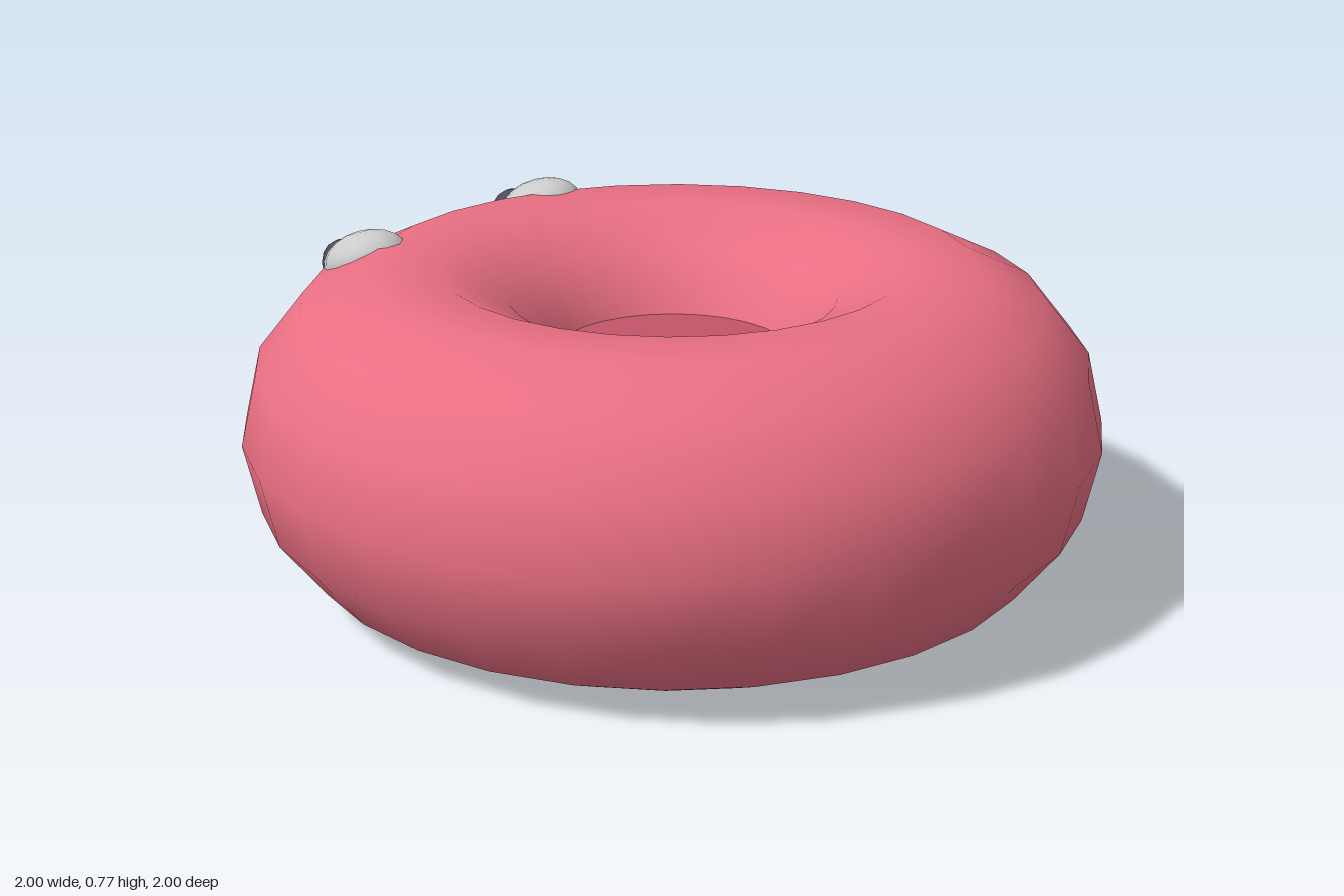
import * as THREE from 'three';

const MID = 0.373; // height of the ring's centre plane

function part(name, geometry, color) {
  const mesh = new THREE.Mesh(geometry, new THREE.MeshStandardMaterial({ color }));
  mesh.name = name;
  return mesh;
}

export function createModel() {
  const group = new THREE.Group();
  group.name = 'ringWithEyes';

  // Fat ring body lying flat
  const ring = part('ring', new THREE.TorusGeometry(0.618, 0.382, 14, 28).rotateX(-Math.PI / 2), 0xe96f83);
  ring.position.y = MID;
  group.add(ring);

  // Plug that closes the hole, its faces sunk below the ring's crown
  const plug = part('plug', new THREE.CylinderGeometry(0.274, 0.274, 0.33, 28), 0xc4546a);
  plug.position.y = MID;
  group.add(plug);

  // Eyes half sunk into the back of the crown, leaning outward with the surface
  for (const side of [1, -1]) {
    const eye = new THREE.Group();
    eye.name = side > 0 ? 'leftEye' : 'rightEye';

    const eyeball = part('eyeball', new THREE.SphereGeometry(1, 14, 10), 0xcccccc);
    eyeball.scale.set(0.098, 0.07, 0.11);
    eyeball.rotation.x = -0.35;
    eyeball.position.set(side * 0.307, 0.695, -0.69);

    const pupil = part('pupil', new THREE.SphereGeometry(0.054, 12, 8), 0x4c4c5e);
    pupil.position.set(side * 0.297, 0.672, -0.777);

    eye.add(eyeball, pupil);
    group.add(eye);
  }
  return group;
}
